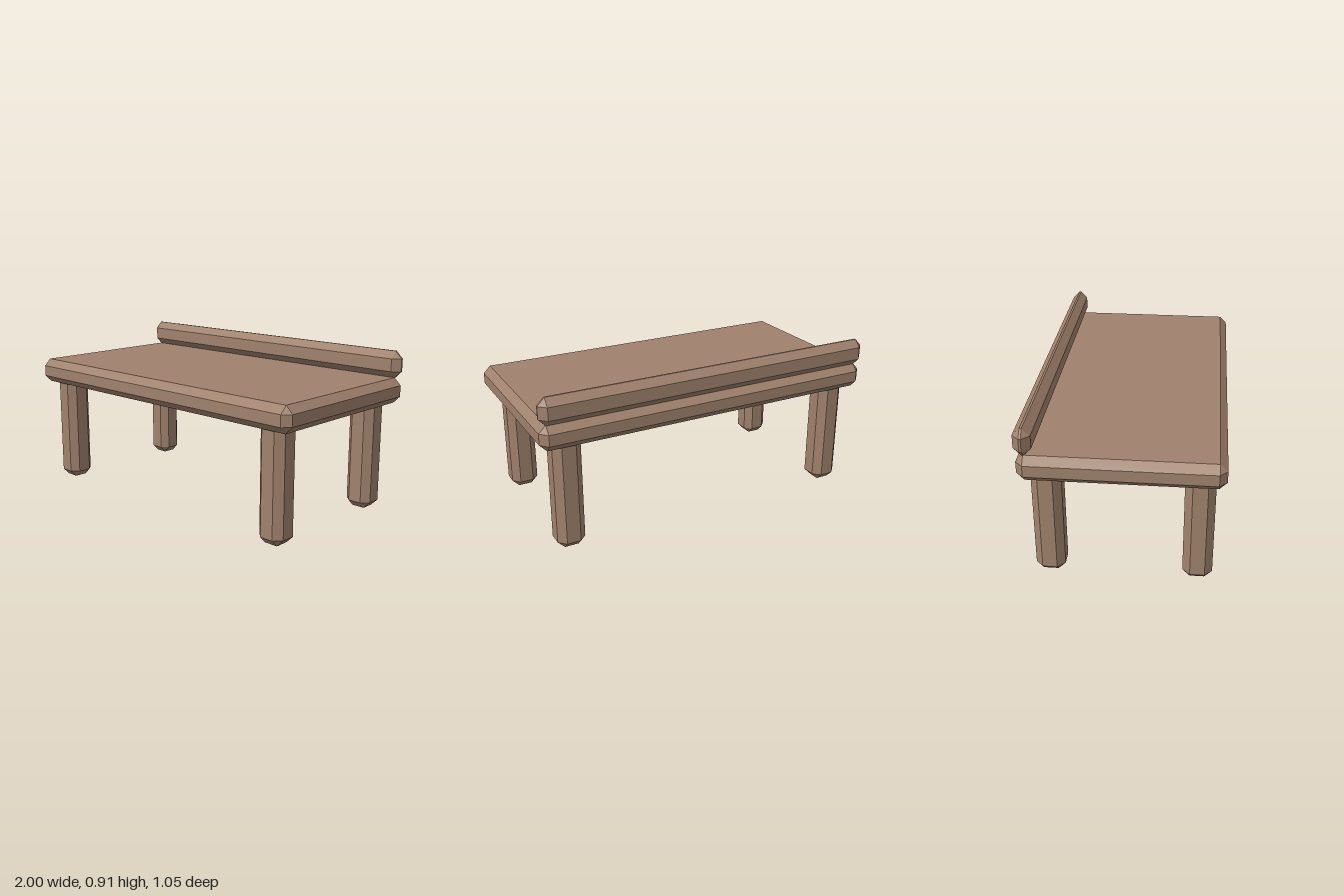
import * as THREE from 'three';
import { ConvexGeometry } from 'three/addons/geometries/ConvexGeometry.js';

const CHAMFER = 0.04;

// Box with every edge and corner cut off at 45 degrees
function chamferedBox(w, h, d, c = CHAMFER) {
  const points = [];
  for (const sx of [-1, 1]) for (const sy of [-1, 1]) for (const sz of [-1, 1]) {
    const x = w / 2, y = h / 2, z = d / 2;
    points.push(
      new THREE.Vector3(sx * x, sy * (y - c), sz * (z - c)),
      new THREE.Vector3(sx * (x - c), sy * y, sz * (z - c)),
      new THREE.Vector3(sx * (x - c), sy * (y - c), sz * z)
    );
  }
  return new ConvexGeometry(points);
}

export function createModel() {
  const model = new THREE.Group();
  model.name = 'bench';
  const wood = new THREE.MeshStandardMaterial({ color: 0xa0826d, flatShading: true });
  wood.name = 'brown wood';

  const add = (name, geometry, x, y, z) => {
    const mesh = new THREE.Mesh(geometry, wood);
    mesh.name = name;
    mesh.position.set(x, y, z);
    model.add(mesh);
  };

  // Broad slab and the rail resting along its back edge
  add('seat', chamferedBox(2, 0.143, 1.045), 0, 0.686, 0.0035);
  add('backRail', chamferedBox(2, 0.152, 0.091), 0, 0.832, -0.4805);

  // Four legs, their tops sunk into the slab
  const leg = chamferedBox(0.158, 0.68, 0.158);
  for (const [side, sx] of [['Left', 1], ['Right', -1]]) {
    add('front' + side + 'Leg', leg, sx * 0.841, 0.34, 0.397);
    add('back' + side + 'Leg', leg, sx * 0.841, 0.34, -0.389);
  }
  return model;
}
